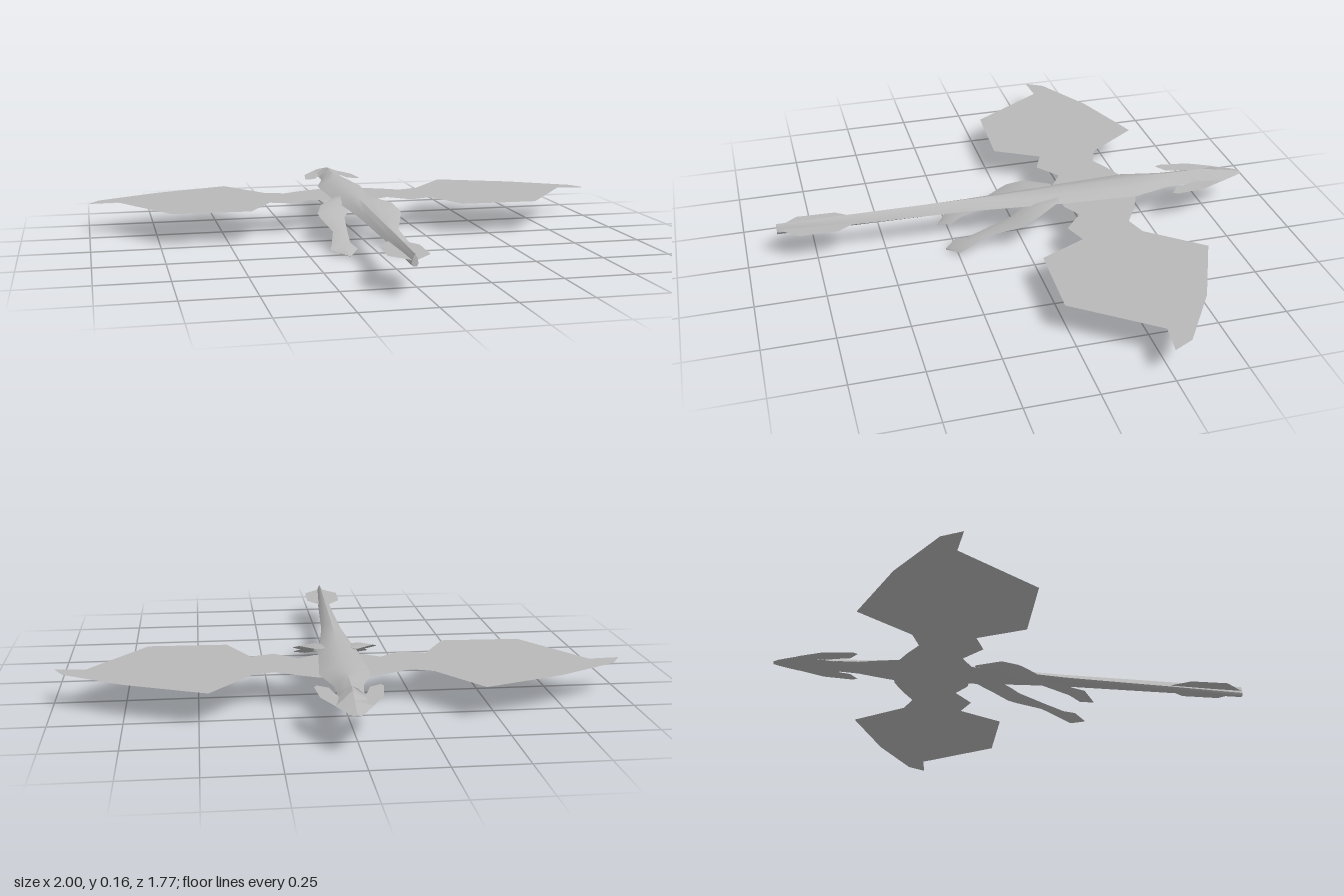
import * as THREE from 'three';
import { toCreasedNormals } from 'three/addons/utils/BufferGeometryUtils.js';

const skin = new THREE.MeshStandardMaterial({ color: 0xb8b8b8 });
skin.name = 'grey skin';
const membrane = new THREE.MeshStandardMaterial({ color: 0xb8b8b8, side: THREE.DoubleSide });
membrane.name = 'grey membrane';

// Closed skin through rings of points, each ring counterclockwise seen from +z
function loft(name, rings, crease) {
  const n = rings[0].length, index = [];
  for (let i = 0; i < rings.length - 1; i++) {
    for (let j = 0; j < n; j++) {
      const a = i * n + j, b = i * n + (j + 1) % n;
      index.push(a, b, b + n, a, b + n, a + n);
    }
  }
  const end = (rings.length - 1) * n;
  for (let j = 1; j < n - 1; j++) index.push(0, j + 1, j, end, end + j, end + j + 1);
  const geo = new THREE.BufferGeometry();
  geo.setAttribute('position', new THREE.Float32BufferAttribute(rings.flat(2), 3));
  geo.setIndex(index);
  const mesh = new THREE.Mesh(toCreasedNormals(geo, crease), skin);
  mesh.name = name;
  return mesh;
}

// Flat sheet from an outline of [x, z] points, mirrored for side = -1
function sheet(name, outline, y, side) {
  const shape = new THREE.Shape(outline.map(([x, z]) => new THREE.Vector2(side * x, -z)));
  const mesh = new THREE.Mesh(new THREE.ShapeGeometry(shape).rotateX(-Math.PI / 2), membrane);
  mesh.name = name;
  mesh.position.y = y;
  return mesh;
}

// The back line rises gently from tail to head
const backLine = (z) => 0.14 + (0.89 - z) * 0.0155;

// Rounded roof section with a narrow flat belly
function bodyRing([z, w]) {
  const t = backLine(z), b = t - 0.04;
  return [[w, b + 0.01, z], [w * 0.55, b + 0.029, z], [0, t, z], [-w * 0.55, b + 0.029, z],
    [-w, b + 0.01, z], [-w * 0.5, b, z], [w * 0.5, b, z]];
}

export function createModel() {
  const model = new THREE.Group();
  model.name = 'wingedReptile';

  // Neck, trunk and tail: [z, half width]
  const bodyStations = [
    [-0.68, 0.042], [-0.58, 0.05], [-0.51, 0.07], [-0.44, 0.088], [-0.3, 0.08],
    [-0.18, 0.074], [-0.1, 0.066], [0, 0.056], [0.2, 0.038], [0.6, 0.024], [0.885, 0.011],
  ];
  model.add(loft('body', bodyStations.map(bodyRing), 0.7));

  // Wedge head: [z, half width, edge y, top y, bottom y]
  const headStations = [
    [-0.89, 0.012, 0.134, 0.137, 0.131], [-0.87, 0.026, 0.135, 0.141, 0.13],
    [-0.8, 0.06, 0.136, 0.153, 0.128], [-0.73, 0.052, 0.133, 0.165, 0.126],
    [-0.65, 0.044, 0.13, 0.164, 0.124],
  ];
  model.add(loft('head', headStations.map(([z, w, e, t, b]) =>
    [[w, e, z], [0, t, z], [-w, e, z], [0, b, z]]), 0.1));

  // Half outlines of the flat parts
  const wing = [
    [0, -0.45], [0.087, -0.443], [0.168, -0.406], [0.235, -0.368], [0.314, -0.396],
    [0.458, -0.59], [0.741, -0.477], [0.961, -0.345], [0.999, -0.276], [0.888, -0.287],
    [0.693, -0.005], [0.403, -0.004], [0.317, -0.171], [0.233, -0.138], [0.15, -0.205],
    [0.085, -0.165], [0, -0.16],
  ];
  const frill = [
    [0.03, -0.8], [0.06, -0.8], [0.102, -0.71], [0.115, -0.6], [0.105, -0.583],
    [0.067, -0.61], [0.055, -0.66], [0.04, -0.71],
  ];
  const fin = [[0, 0.6], [0.022, 0.6], [0.067, 0.67], [0.068, 0.81], [0.01, 0.88], [0, 0.88]];

  // Hind leg: [z, inner x, outer x, half thickness]
  const legStations = [
    [-0.15, 0.02, 0.07, 0.006], [-0.06, 0.025, 0.137, 0.01], [0, 0.045, 0.158, 0.011],
    [0.03, 0.062, 0.153, 0.01], [0.125, 0.069, 0.122, 0.008], [0.2, 0.072, 0.139, 0.007],
    [0.242, 0.052, 0.15, 0.006], [0.285, 0.085, 0.092, 0.002],
  ];

  for (const [side, label] of [[1, 'left'], [-1, 'right']]) {
    model.add(sheet(label + 'Wing', wing, 0.12, side));
    model.add(sheet(label + 'HeadFrill', frill, 0.137, side));
    model.add(sheet(label + 'TailFin', fin, 0.12, side));
    model.add(loft(label + 'Leg', legStations.map(([z, inner, outer, h]) => {
      const xs = [side * inner, side * outer];
      const lo = Math.min(...xs), hi = Math.max(...xs), mid = (lo + hi) / 2;
      const y = Math.min(0.135, 0.121 - 0.355 * (z + 0.05));
      return [[hi, y, z], [mid, y + h, z], [lo, y, z], [mid, y - h, z]];
    }), 0.9));
  }

  // The whole animal is turned slightly off the z axis
  model.rotation.y = -0.036;
  model.position.x = -0.0125;
  const group = new THREE.Group();
  group.add(model);
  return group;
}
